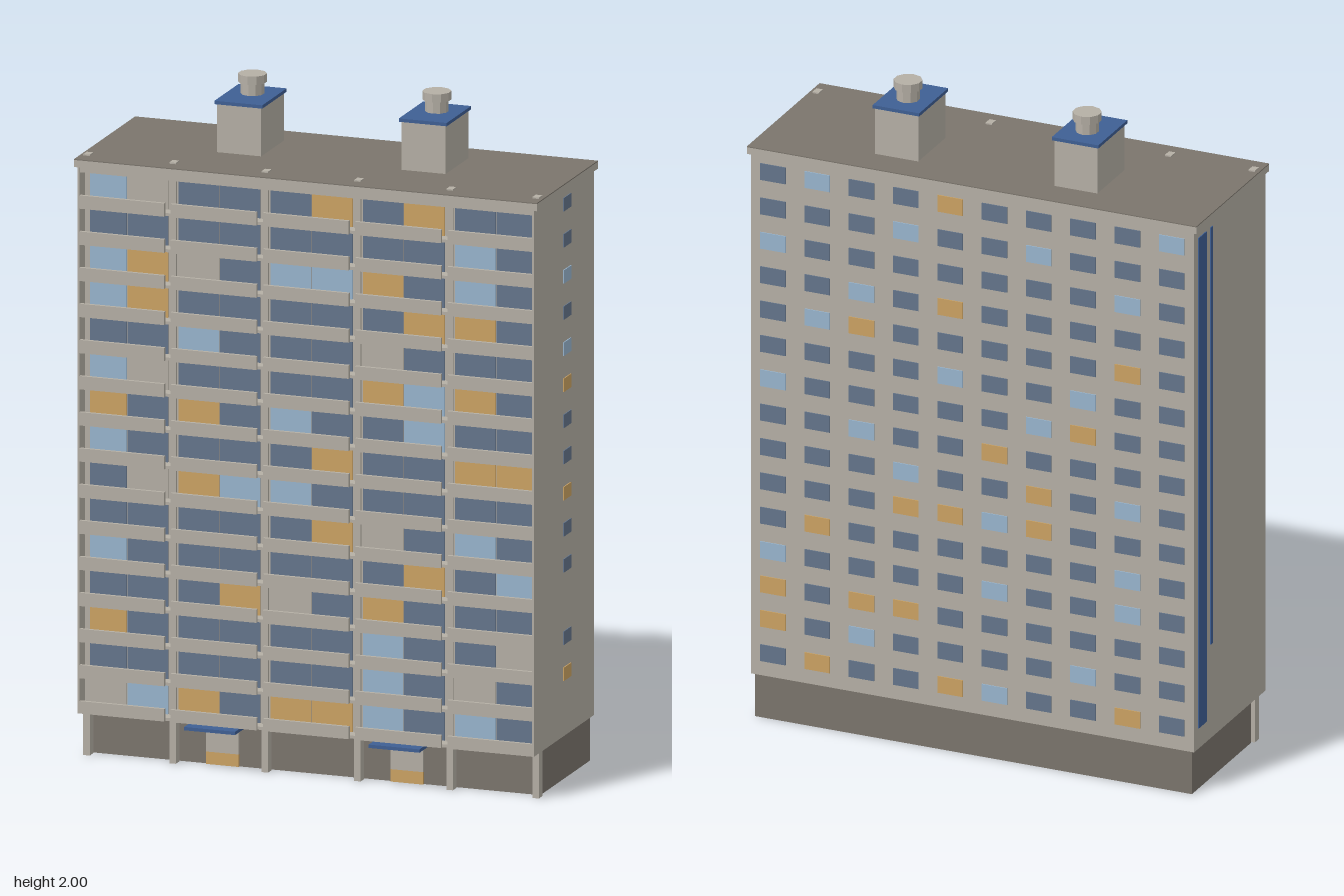
import * as THREE from 'three';

const mat = (name, color, side = THREE.FrontSide) => {
  const m = new THREE.MeshStandardMaterial({ color, side });
  m.name = name;
  return m;
};

export function createModel() {
  const concrete = mat('concrete', 0xb5afa5);
  const dark = mat('darkConcrete', 0x7b756c);
  const blue = mat('bluePaint', 0x3e5f94);
  const glass = {
    d: mat('darkGlass', 0x64758b),
    l: mat('paleGlass', 0x98b5ce),
    g: mat('litGlass', 0xcba262),
    b: concrete, // closed blinds
  };

  const model = new THREE.Group();
  model.name = 'apartmentBlock';
  const group = (name) => {
    const g = new THREE.Group();
    g.name = name;
    model.add(g);
    return g;
  };
  // Box given by its minimum and maximum on each axis
  const box = (parent, name, material, [x0, x1], [y0, y1], [z0, z1]) => {
    const mesh = new THREE.Mesh(new THREE.BoxGeometry(x1 - x0, y1 - y0, z1 - z0), material);
    mesh.position.set((x0 + x1) / 2, (y0 + y1) / 2, (z0 + z1) / 2);
    mesh.name = name;
    parent.add(mesh);
    return mesh;
  };
  const around = (c, size) => [c - size / 2, c + size / 2];

  const W = 0.7, FRONT = 0.236, BACK = -0.262, WALL = 0.184;
  const BOTTOM = 0.135, TOP = 1.762, STEP = 0.1076, ROWS = 15;
  const sill = (row) => 0.172 + (ROWS - 1 - row) * STEP;

  // Hollow ground floor, open underneath
  const base = group('groundFloor');
  const t = 0.006;
  box(base, 'baseFrontWall', dark, [-0.69, 0.69], [0, BOTTOM], [0.155 - t, 0.155]);
  box(base, 'baseBackWall', dark, [-0.69, 0.69], [0, BOTTOM], [-0.255, -0.255 + t]);
  for (const s of [-1, 1])
    box(base, 'baseSideWall', dark, around(s * (0.69 - t / 2), t), [0, BOTTOM], [-0.255 + t, 0.155 - t]);
  box(base, 'baseCeiling', dark, [-0.684, 0.684], [BOTTOM - 0.006, BOTTOM - 0.001], [-0.249, 0.149]);

  // Main body with side walls reaching past the recessed front
  const body = group('towerBody');
  box(body, 'core', concrete, [-W, W], [BOTTOM, TOP], [BACK, WALL]);
  for (const s of [-1, 1])
    box(body, 'sideWall', concrete, around(s * (W - 0.003), 0.006), [BOTTOM, TOP], [WALL, FRONT]);

  // Roof slab with a dark covering
  const roof = group('roof');
  box(roof, 'roofSlab', concrete, [-0.71, 0.71], [TOP, 1.783], [-0.268, 0.238]);
  box(roof, 'roofCovering', dark, [-0.71, 0.71], [1.783, 1.786], [-0.268, 0.238]);

  // Columns from the ground up through the roof
  const columns = group('columns');
  for (const x of [-0.689, -0.425, -0.142, 0.142, 0.425, 0.689])
    box(columns, 'column', concrete, around(x, 0.02), [0, 1.79], [0.163, 0.192]);

  // Balcony bays: floor slab, parapet and two windows on each storey
  const frontGlass = [
    'lbdddgdgdd', 'ddddddddld', 'lgbdllgdld', 'lgdddddggd', 'ddldddbddd'.replace(' ', ''),
    'lbddddglgd', 'gdgdlddldd', 'lddddgddgg', 'dbgllddddd'.replace(' ', ''), 'dddddgbdld',
    'lddddddgdl', 'dddgbdgddd', 'gdddddlddb', 'ddddddldbd', 'blgdggldld',
  ];
  const balconies = group('balconies');
  const frontWindows = group('frontWindows');
  for (let row = 0; row < ROWS; row++) {
    const y = sill(row);
    const floor = row === ROWS - 1 ? BOTTOM : y - 0.0396;
    box(balconies, 'balconyFloor', concrete, [-0.694, 0.694], [floor, floor + 0.009], [WALL, FRONT - 0.01]);
    for (let bay = 0; bay < 5; bay++) {
      const cx = (bay - 2) * 0.283;
      box(balconies, 'parapet', concrete, around(cx, 0.263), [floor, y], [FRONT - 0.01, FRONT]);
      for (let k = 0; k < 2; k++)
        box(frontWindows, 'frontWindow', glass[frontGlass[row][bay * 2 + k]],
          around(cx + (k - 0.5) * 0.127, 0.124), [floor + 0.009, y + 0.067], [WALL, WALL + 0.004]);
    }
  }
  box(balconies, 'topBeam', concrete, [-0.694, 0.694], [1.747, TOP], [WALL, FRONT - 0.002]);

  // Back windows, listed from +x to -x
  const backGlass = [
    'dlddgddddl', 'dddlddlddd', 'ldddddddld', 'ddldgddddd', 'dlgdddddgd',
    'ddddlddldd', 'ldddddlgdd', 'ddlddgdddd', 'dddlddgdld', 'dddgglgddd',
    'dgddddddld', 'lddddlddld', 'gdggdddddd', 'gdlddddldd', 'dgddglddgd',
  ];
  const backWindows = group('backWindows');
  backGlass.forEach((codes, row) => [...codes].forEach((code, i) =>
    box(backWindows, 'backWindow', glass[code], around(0.63 - i * 0.14, 0.08),
      around(sill(row) + 0.034, 0.052), [BACK - 0.003, BACK])));

  // One column of small windows on the right-hand end wall
  const sideWindows = group('sideWindows');
  [...'ddldlgddgdd-dg'].forEach((code, row) => {
    if (code !== '-')
      box(sideWindows, 'sideWindow', glass[code], [W, W + 0.003],
        around(sill(row) + 0.041, 0.04), around(-0.037, 0.06));
  });

  // Painted stripes on the other end wall
  const stripes = group('sideStripes');
  box(stripes, 'wideStripe', blue, [-W - 0.003, -W], [0.2, 1.735], [-0.235, -0.18]);
  box(stripes, 'narrowStripe', blue, [-W - 0.003, -W], [0.43, 1.735], [-0.15, -0.135]);

  // Entrances and roof houses, one pair on each half
  for (const s of [-1, 1]) {
    const x = s * 0.283;
    const entrance = group('entrance');
    box(entrance, 'doorUpper', concrete, around(x, 0.1), [0.037, 0.105], [0.155, 0.162]);
    box(entrance, 'doorLower', glass.g, around(x, 0.1), [0, 0.037], [0.155, 0.162]);
    box(entrance, 'canopy', blue, around(x, 0.156), [0.124, 0.134], [0.155, 0.268]);

    const house = group('roofHouse');
    box(house, 'roofHouseWalls', concrete, around(x, 0.136), [1.786, 1.93], [-0.166, 0.024]);
    box(house, 'roofHouseCap', blue, around(x, 0.147), [1.93, 1.94], [-0.172, 0.03]);
    for (const [name, r, y0, y1] of [['ventPipe', 0.034, 1.94, 1.975], ['ventCap', 0.042, 1.975, 2]]) {
      const geo = new THREE.CylinderGeometry(r, r, y1 - y0, 10).toNonIndexed();
      geo.computeVertexNormals();
      const vent = new THREE.Mesh(geo, concrete);
      vent.position.set(x, (y0 + y1) / 2, -0.087);
      vent.name = name;
      house.add(vent);
    }
  }
  return model;
}
